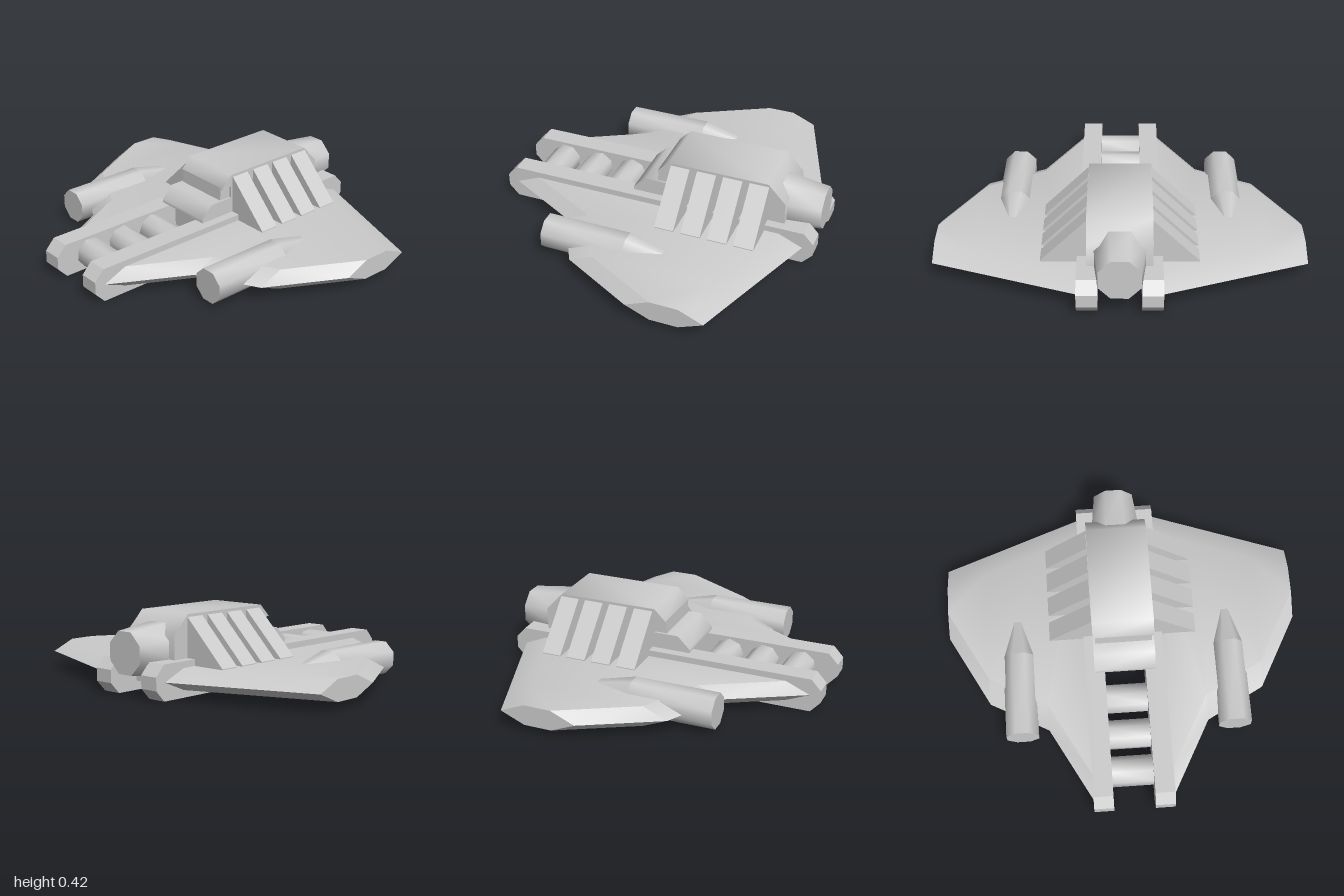
import * as THREE from 'three';
import { toCreasedNormals } from 'three/addons/utils/BufferGeometryUtils.js';

const material = new THREE.MeshStandardMaterial({ color: 0xcccccc });

export function createModel() {
  const model = new THREE.Group();

  function add(name, geometry, crease = 0.6) {
    const mesh = new THREE.Mesh(toCreasedNormals(geometry, crease), material);
    mesh.name = name;
    model.add(mesh);
    return mesh;
  }

  const toShape = (pts) => new THREE.Shape(pts.map(([a, b]) => new THREE.Vector2(a, b)));

  // Side profile of [z, y] points, extruded from x0 to x1
  function sideExtrude(pts, x0, x1) {
    const g = new THREE.ExtrudeGeometry(toShape(pts), { depth: x1 - x0, bevelEnabled: false });
    return g.rotateY(-Math.PI / 2).translate(x1, 0, 0);
  }

  // Octagonal bar along z with flat top; a0 and a1 are half heights at z0 (back) and z1 (front)
  function octagonBar(a0, a1, z0, z1) {
    const k = 1 / Math.cos(Math.PI / 8);
    const g = new THREE.CylinderGeometry(a1 * k, a0 * k, z1 - z0, 8);
    return g.rotateY(Math.PI / 8).rotateX(Math.PI / 2).translate(0, 0, (z0 + z1) / 2);
  }

  // Wing: hexagonal sections [x, front z, back z] with thin bevelled edges
  function wingGeometry(side) {
    const sections = [[0.2, 0.87, -0.864], [0.225, 0.855, -0.855], [0.45, 0.44, -0.774],
      [0.775, 0.265, -0.656], [1, -0.15, -0.575]];
    const inset = 0.135, top = 0.155, mid = 0.097, low = 0.04;
    const positions = [], index = [];
    const tri = (a, b, c) => (side > 0 ? index.push(a, b, c) : index.push(a, c, b));
    sections.forEach(([x, f, b], i) => {
      const ring = [[f, mid], [f - inset, top], [b + inset, top],
        [b, mid], [b + inset, low], [f - inset, low]];
      ring.forEach(([z, y]) => positions.push(side * x, y, z));
      if (i === 0) return;
      for (let j = 0; j < 6; j++) {
        const a = (i - 1) * 6 + j, a2 = (i - 1) * 6 + (j + 1) % 6;
        tri(a, a + 6, a2);
        tri(a + 6, a2 + 6, a2);
      }
    });
    // Flat wing tip
    const last = (sections.length - 1) * 6;
    for (let k = 1; k < 5; k++) tri(last, last + k + 1, last + k);
    const g = new THREE.BufferGeometry();
    g.setAttribute('position', new THREE.Float32BufferAttribute(positions, 3));
    g.setIndex(index);
    return g;
  }

  for (const side of [1, -1]) {
    const label = side > 0 ? 'left' : 'right';
    add(label + 'Wing', wingGeometry(side));

    // Long rail with chamfered ends
    const rail = [[-0.915, 0.06], [-0.86, 0], [0.86, 0], [0.915, 0.06],
      [0.915, 0.13], [0.86, 0.19], [-0.86, 0.19], [-0.915, 0.13]];
    add(label + 'Rail', sideExtrude(rail, side * 0.17 - 0.055, side * 0.17 + 0.055));

    // Wing pod with tapering tail
    add(label + 'Pod', octagonBar(0.09, 0.09, 0, 0.475), 0.87).position.set(side * 0.6, 0.11, 0);
    add(label + 'PodTail', octagonBar(0.002, 0.09, -0.4, 0), 0.87).position.set(side * 0.6, 0.11, 0);

    // Four sloping ribs beside the hull
    for (const z of [-0.64, -0.49, -0.34, -0.187]) {
      const rib = toShape([[side * 0.16, 0.15], [side * 0.42, 0.15], [side * 0.42, 0.16], [side * 0.175, 0.405], [side * 0.16, 0.405]]);
      add(label + 'Rib', new THREE.ExtrudeGeometry(rib, { depth: 0.11, bevelEnabled: false }).translate(0, 0, z));
    }
  }

  // Hull, with a notch for the window in the sloping front
  add('hull', sideExtrude([[-0.735, 0.15], [0, 0.15], [0, 0.19], [0.145, 0.19], [0.145, 0.21],
    [0.075, 0.28], [-0.065, 0.28], [-0.065, 0.35], [0, 0.35], [0, 0.355], [-0.065, 0.42],
    [-0.635, 0.42], [-0.735, 0.315]], -0.173, 0.173), 0.87);
  add('window', sideExtrude([[-0.08, 0.275], [0.005, 0.275], [0, 0.355], [-0.08, 0.355]], -0.16, 0.16));
  add('belly', sideExtrude([[-0.735, 0.05], [0.1, 0.05], [0.1, 0.2], [-0.735, 0.2]], -0.12, 0.12));

  // Rear nozzle, narrowing backwards
  add('nozzle', octagonBar(0.112, 0.14, -0.92, -0.68), 0.87).position.y = 0.23;

  // Rungs between the rails
  [0.278, 0.49, 0.703].forEach((z, i) => {
    const g = new THREE.CylinderGeometry(0.085, 0.085, 0.24, 8);
    g.rotateY(i * 0.25).rotateZ(Math.PI / 2).translate(0, 0.093, z);
    add('rung', g, 0.87);
  });

  return model;
}
